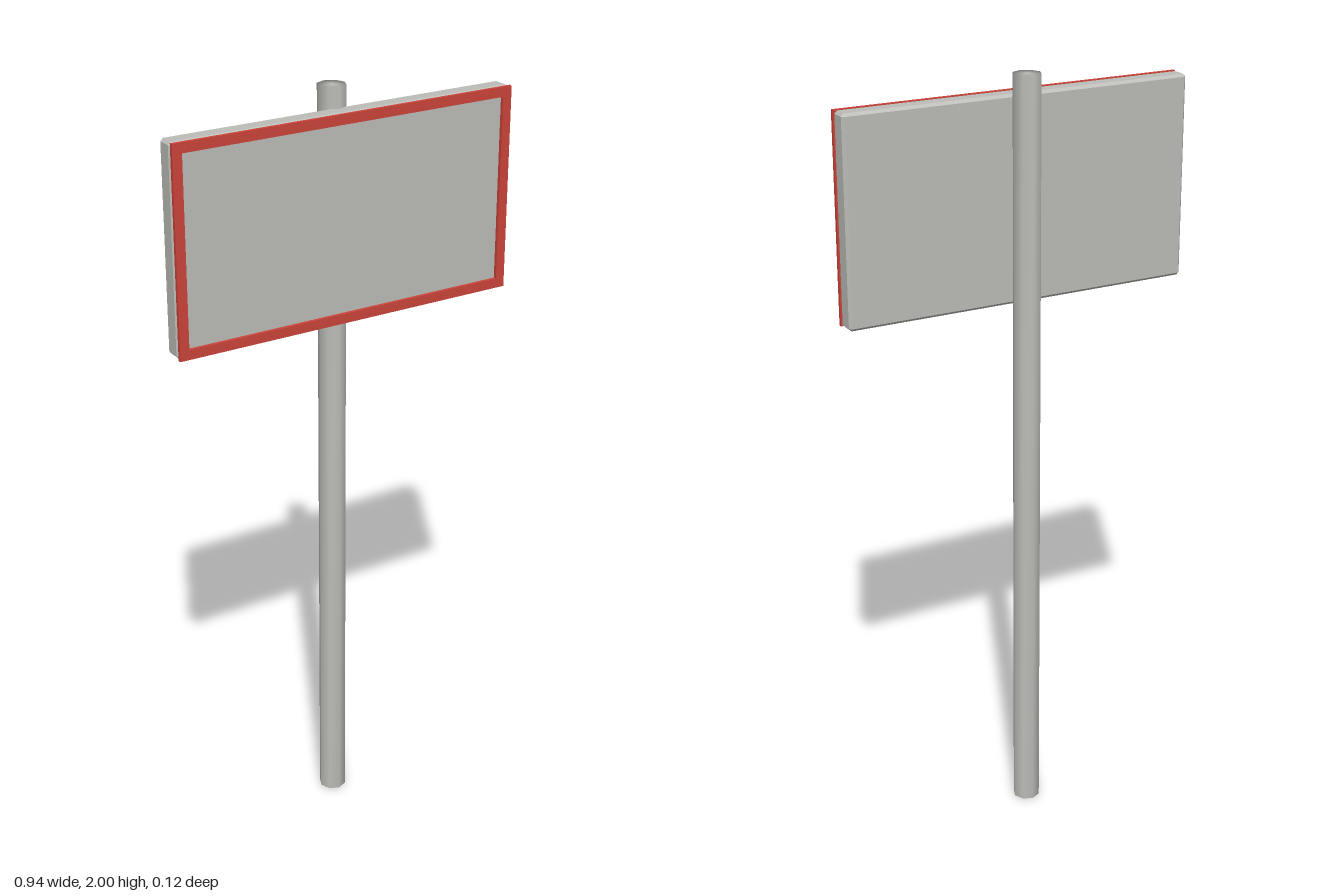
import * as THREE from 'three';
import { mergeVertices } from 'three/addons/utils/BufferGeometryUtils.js';
import { ConvexGeometry } from 'three/addons/geometries/ConvexGeometry.js';

// Box with every edge cut at 45 degrees
function chamferedBox(w, h, d, c) {
  const x = w / 2, y = h / 2, z = d / 2, points = [];
  for (const sx of [-1, 1]) for (const sy of [-1, 1]) for (const sz of [-1, 1]) {
    points.push(
      new THREE.Vector3(sx * x, sy * (y - c), sz * (z - c)),
      new THREE.Vector3(sx * (x - c), sy * y, sz * (z - c)),
      new THREE.Vector3(sx * (x - c), sy * (y - c), sz * z));
  }
  return new ConvexGeometry(points);
}

// Counter-clockwise rectangle outline
function rectangle(target, w, h) {
  target.moveTo(-w / 2, -h / 2);
  target.lineTo(w / 2, -h / 2);
  target.lineTo(w / 2, h / 2);
  target.lineTo(-w / 2, h / 2);
  target.closePath();
  return target;
}

export function createModel() {
  const model = new THREE.Group();
  model.name = 'signpost';
  const grey = new THREE.MeshStandardMaterial({ color: 0xbcbcb8 });
  grey.name = 'grey metal';
  const red = new THREE.MeshStandardMaterial({ color: 0xcc4439 });
  red.name = 'red border';

  const add = (name, geometry, material, y, z) => {
    const mesh = new THREE.Mesh(geometry, material);
    mesh.name = name;
    mesh.position.set(0, y, z);
    model.add(mesh);
  };

  // Eight-sided pole, with normals shared between sides and caps
  let pole = new THREE.CylinderGeometry(0.036, 0.036, 2, 8);
  pole.deleteAttribute('uv');
  pole.deleteAttribute('normal');
  pole = mergeVertices(pole);
  pole.computeVertexNormals();
  add('pole', pole, grey, 1, -0.024);

  // Sign board with chamfered edges
  const middle = 1.686;
  add('board', chamferedBox(0.942, 0.524, 0.05, 0.007), grey, middle, 0.022);

  // Thin border held just in front of the board
  const outline = rectangle(new THREE.Shape(), 0.942, 0.524);
  outline.holes.push(rectangle(new THREE.Path(), 0.892, 0.474));
  const border = new THREE.ExtrudeGeometry(outline, { depth: 0.009, bevelEnabled: false });
  add('border', border, red, middle, 0.05);

  return model;
}
